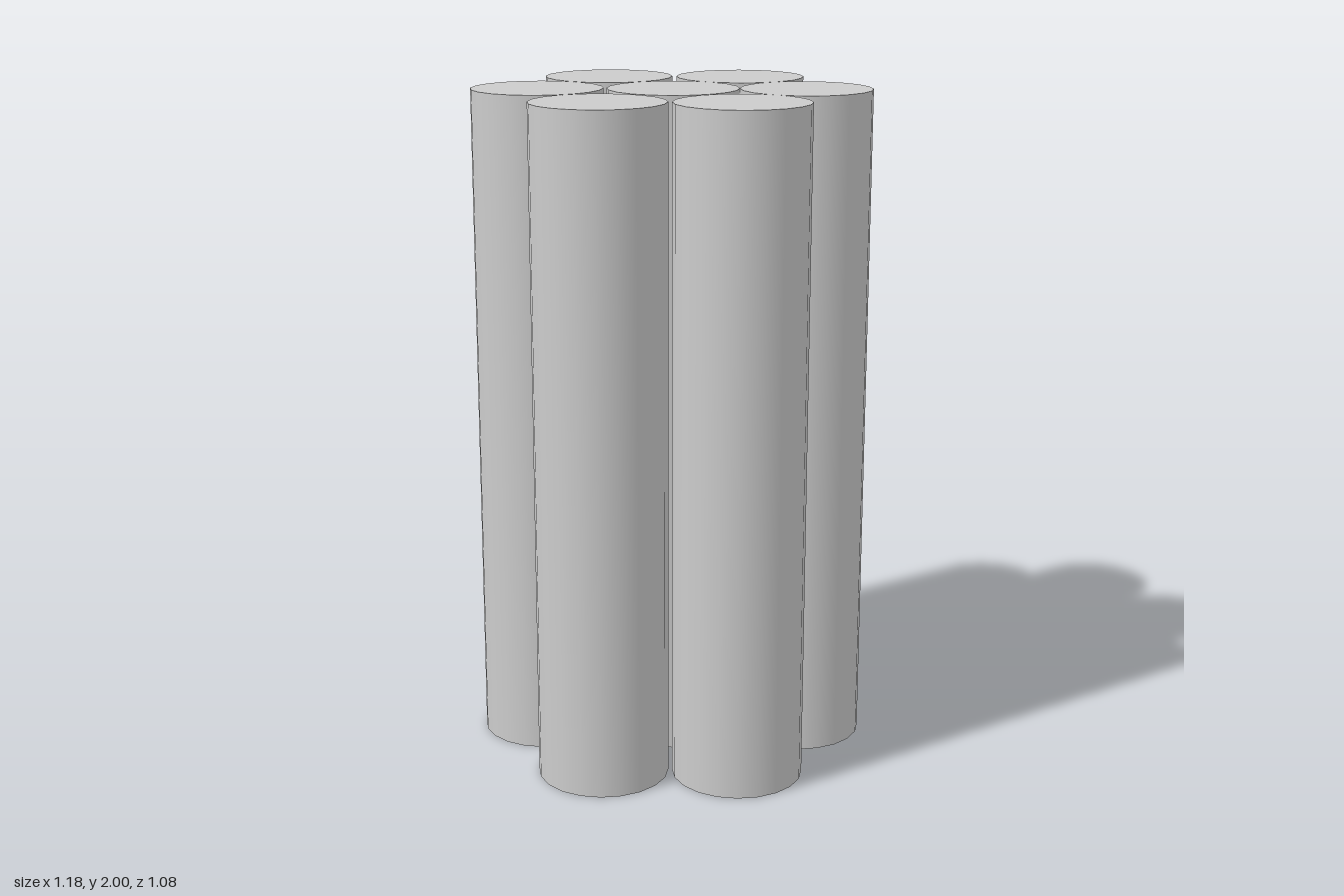
import * as THREE from 'three';

const RADIUS = 0.195, HEIGHT = 2, LEAN = 0.011;

// Top-cap centres of the seven rods [name, x, z]
const RODS = [
  ['centreRod', 0.003, -0.012],
  ['leftRod', 0.392, -0.005],
  ['rightRod', -0.395, -0.008],
  ['frontLeftRod', 0.2, 0.331],
  ['frontRightRod', -0.2, 0.331],
  ['backLeftRod', 0.203, -0.344],
  ['backRightRod', -0.2, -0.346],
];

export function createModel() {
  const group = new THREE.Group();
  group.name = 'rodBundle';
  const material = new THREE.MeshStandardMaterial({ color: 0xcccccc });

  // One rod, leaning very slightly backwards, with flat level ends
  const rod = new THREE.CylinderGeometry(RADIUS, RADIUS, HEIGHT, 20);
  rod.translate(0, HEIGHT / 2, 0);
  const pos = rod.attributes.position;
  for (let i = 0; i < pos.count; i++) {
    pos.setZ(i, pos.getZ(i) + LEAN * (1 - pos.getY(i) / HEIGHT));
  }

  // Hexagonal bundle around the centre rod
  for (const [name, x, z] of RODS) {
    const mesh = new THREE.Mesh(rod, material);
    mesh.name = name;
    mesh.position.set(x, 0, z);
    group.add(mesh);
  }
  return group;
}
